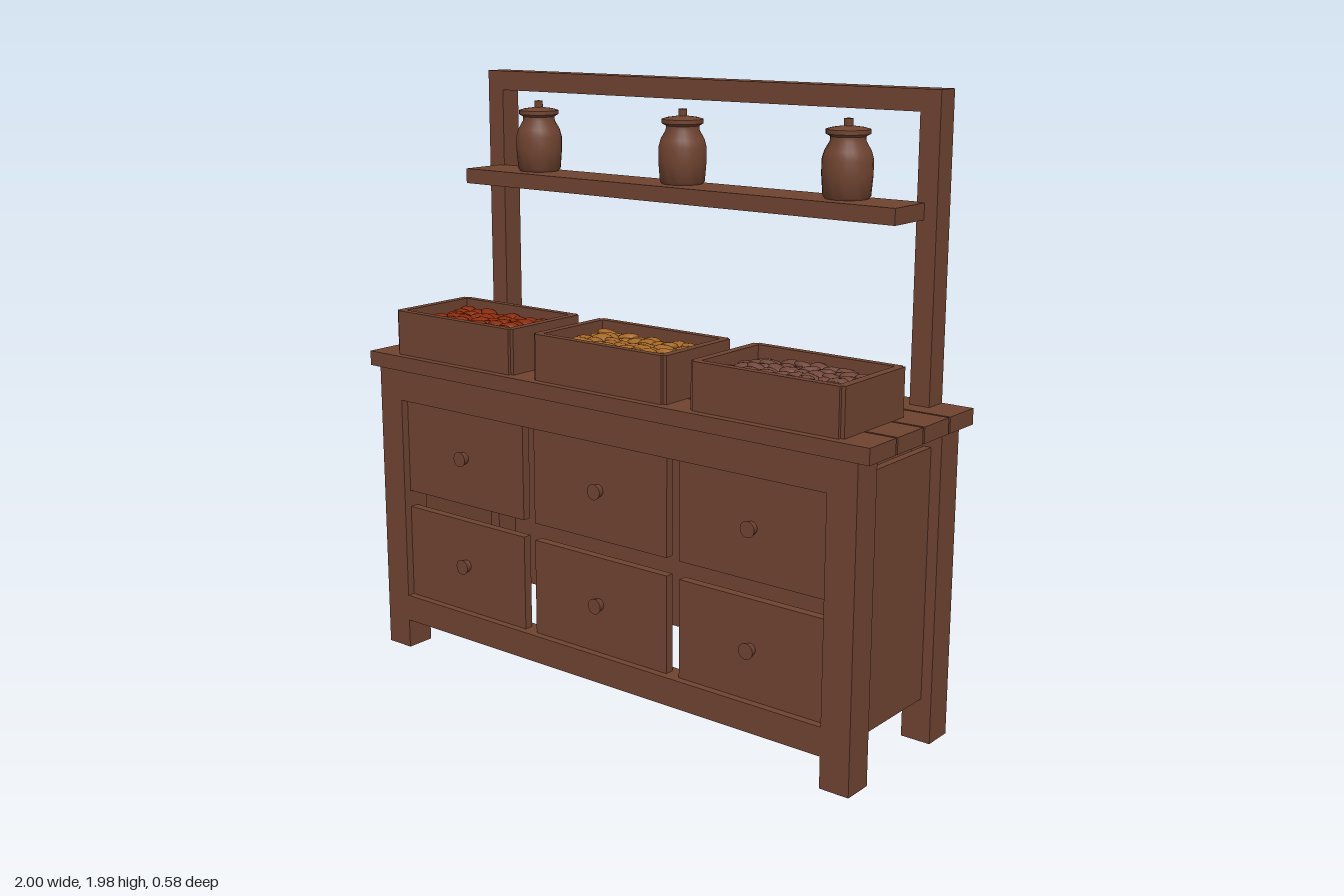
import * as THREE from 'three';
import { mergeGeometries, toCreasedNormals } from 'three/addons/utils/BufferGeometryUtils.js';

export function createModel() {
  const root = new THREE.Group();
  root.name = 'spiceCounter';

  const material = (name, color) => {
    const m = new THREE.MeshStandardMaterial({ color });
    m.name = name;
    return m;
  };
  const wood = material('brown wood', 0x6f4330);
  const red = material('red spice', 0x8a2b0d);
  const amber = material('amber spice', 0xa56726);
  const brown = material('brown spice', 0x72473a);

  const add = (name, geometry, mat, parent = root) => {
    const mesh = new THREE.Mesh(geometry, mat);
    mesh.name = name;
    parent.add(mesh);
    return mesh;
  };
  // Wooden board given by its lower and upper limits on each axis
  const board = (name, [x0, x1], [y0, y1], [z0, z1], parent = root) => {
    const mesh = add(name, new THREE.BoxGeometry(x1 - x0, y1 - y0, z1 - z0), wood, parent);
    mesh.position.set((x0 + x1) / 2, (y0 + y1) / 2, (z0 + z1) / 2);
    return mesh;
  };
  const mirrored = (name, [x0, x1], y, z) => {
    board('left' + name, [x0, x1], y, z);
    board('right' + name, [-x1, -x0], y, z);
  };

  // Table top of four planks
  for (let i = 0; i < 4; i++) {
    const z = -0.29 + i * 0.1465;
    board('topPlank', [-1, 1], [1, 1.05], [z, z + 0.138]);
  }

  // Legs and side panels
  mirrored('FrontLeg', [0.86, 0.96], [0, 1], [0.18, 0.28]);
  mirrored('BackLeg', [0.86, 0.96], [0, 1], [-0.28, -0.18]);
  mirrored('SidePanel', [0.9, 0.925], [0.14, 0.94], [-0.18, 0.18]);

  // Back panel and front rails
  board('backPanel', [-0.935, 0.935], [0.1, 0.93], [-0.285, -0.265]);
  board('topRail', [-0.86, 0.86], [0.895, 1], [0.2, 0.28]);
  board('bottomRail', [-0.86, 0.86], [0.1, 0.192], [0.2, 0.28]);

  // Six drawer fronts with round knobs
  const knobShape = new THREE.CylinderGeometry(0.026, 0.018, 0.03, 16);
  knobShape.rotateX(Math.PI / 2);
  for (const [x0, x1] of [[-0.858, -0.322], [-0.273, 0.273], [0.322, 0.858]]) {
    for (const [y0, y1] of [[0.192, 0.512], [0.57, 0.897]]) {
      board('drawerFront', [x0, x1], [y0, y1], [0.225, 0.255]);
      const knob = add('drawerKnob', knobShape, wood);
      knob.position.set((x0 + x1) / 2, y0 + 0.163, 0.265);
    }
  }

  // Rack frame and shelf
  mirrored('RackPost', [0.828, 0.895], [1.03, 1.92], [-0.288, -0.212]);
  board('rackTopRail', [-0.895, 0.895], [1.915, 1.98], [-0.288, -0.212]);
  board('shelf', [-0.853, 0.853], [1.605, 1.655], [-0.225, -0.05]);

  // Lidded jars on the shelf
  const jarProfile = [
    [0, 0], [0.066, 0], [0.072, 0.008], [0.077, 0.07], [0.077, 0.115], [0.07, 0.14],
    [0.054, 0.168], [0.053, 0.182], [0.067, 0.19], [0.067, 0.203], [0.05, 0.208],
    [0.014, 0.213], [0.014, 0.234], [0, 0.236],
  ].map(([r, y]) => new THREE.Vector2(r, y));
  const jarShape = toCreasedNormals(new THREE.LatheGeometry(jarProfile, 24), 0.7);
  for (const x of [-0.617, 0, 0.617]) {
    add('jar', jarShape, wood).position.set(x, 1.655, -0.165);
  }

  // Seeded random numbers for the heaps
  let seed = 7;
  const random = () => (seed = (seed * 16807) % 2147483647) / 2147483647;

  // Heap of overlapping flakes
  const heap = () => {
    const base = new THREE.BoxGeometry(0.48, 0.1, 0.29).toNonIndexed();
    base.translate(0, 0.055, 0);
    const parts = [base];
    const columns = 9, rows = 7;
    for (let i = 0; i < columns; i++) {
      for (let j = 0; j < rows; j++) {
        const flake = new THREE.IcosahedronGeometry(1, 1);
        flake.scale(0.037, 0.014, 0.027);
        flake.rotateZ((random() - 0.5) * 0.5);
        flake.rotateX((random() - 0.5) * 0.5);
        flake.rotateY((random() - 0.5) * 0.9);
        flake.translate(
          ((i + 0.5) / columns - 0.5) * 0.44 + (random() - 0.5) * 0.012,
          0.104 + random() * 0.012,
          ((j + 0.5) / rows - 0.5) * 0.26 + (random() - 0.5) * 0.01);
        parts.push(flake);
      }
    }
    return mergeGeometries(parts);
  };

  // Open crates filled with spices
  [[-0.627, red], [0, amber], [0.627, brown]].forEach(([x, spice]) => {
    const crate = new THREE.Group();
    crate.name = 'crate';
    crate.position.set(x, 1.05, 0.093);
    root.add(crate);
    for (const s of [-1, 1]) {
      board('crateLongWall', [-0.255, 0.255], [0, 0.15],
        s > 0 ? [0.143, 0.168] : [-0.168, -0.143], crate);
      board('crateEndWall', s > 0 ? [0.24, 0.268] : [-0.268, -0.24], [0, 0.15],
        [-0.158, 0.158], crate);
    }
    board('crateFloor', [-0.24, 0.24], [0, 0.02], [-0.143, 0.143], crate);
    add('spiceHeap', heap(), spice, crate);
  });

  return root;
}
